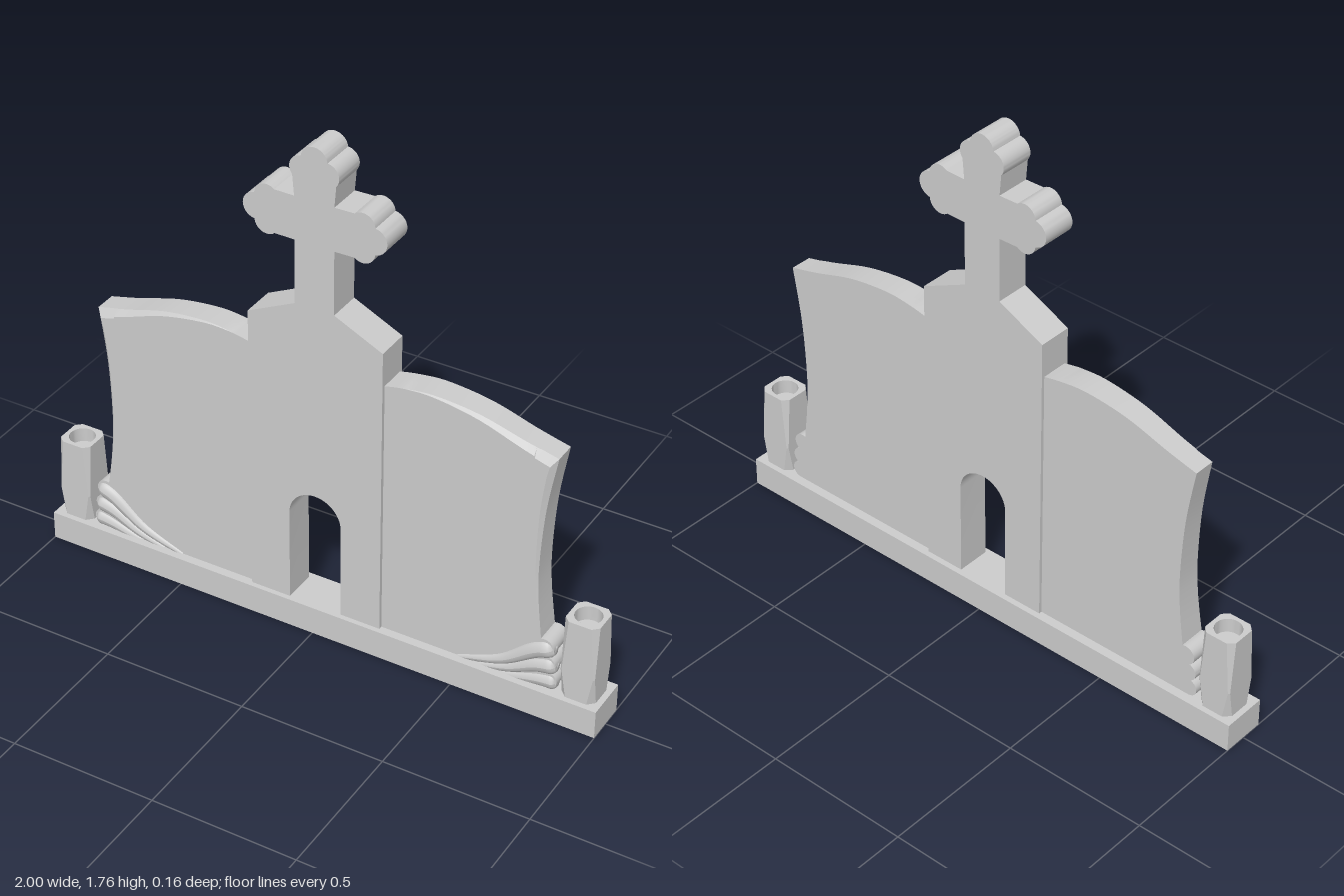
import * as THREE from 'three';
import { toCreasedNormals, mergeVertices } from 'three/addons/utils/BufferGeometryUtils.js';

const material = new THREE.MeshStandardMaterial({ color: 0xcccccc, side: THREE.DoubleSide });
const V2 = (x, y) => new THREE.Vector2(x, y);
const clamp = (v) => THREE.MathUtils.clamp(v, 0, 1);

function part(name, geometry) {
  const mesh = new THREE.Mesh(geometry, material);
  mesh.name = name;
  return mesh;
}

// mirror a geometry in x, keeping its faces outward
function mirrored(geometry) {
  const g = geometry.index ? geometry.toNonIndexed() : geometry.clone();
  g.scale(-1, 1, 1);
  for (const attr of Object.values(g.attributes)) {
    const n = attr.itemSize, a = attr.array;
    for (let i = 0; i < a.length; i += 3 * n)
      for (let k = 0; k < n; k++) [a[i + n + k], a[i + 2 * n + k]] = [a[i + 2 * n + k], a[i + n + k]];
  }
  return g;
}

function arc(points, cx, cy, r, from, to, n = 14) {
  for (let i = 0; i <= n; i++) {
    const a = THREE.MathUtils.degToRad(from + (to - from) * i / n);
    points.push(V2(cx + r * Math.cos(a), cy + r * Math.sin(a)));
  }
}

// three-lobed end of a cross arm, turned about the cross centre
function trefoil(points, turn, half = false) {
  const local = [];
  arc(local, 0.163, -0.042, 0.042, -130, -3.7);
  arc(local, 0.2, 0, 0.045, -84, half ? 0 : 84);
  if (!half) arc(local, 0.163, 0.042, 0.042, 3.7, 130);
  const centre = V2(0, half ? 1.512 : 1.505);
  for (const p of local) points.push(p.rotateAround(V2(0, 0), turn).add(centre));
}

// gate tower and cross as one mirrored outline with an arched doorway
function towerGeometry() {
  const half = [];
  arc(half, 0, 0.432, 0.093, 90, 0);
  half.push(V2(0.093, 0.1), V2(0.235, 0.1), V2(0.235, 1.13), V2(0.068, 1.21), V2(0.068, 1.43));
  trefoil(half, 0);
  half.push(V2(0.068, 1.578));
  trefoil(half, Math.PI / 2, true);
  const other = half.filter((p) => p.x > 1e-6).reverse().map((p) => V2(-p.x, p.y));
  const g = new THREE.ExtrudeGeometry(new THREE.Shape([...half, ...other]), { depth: 0.117, bevelEnabled: false });
  g.translate(0, 0, -0.057);
  return toCreasedNormals(g, 0.5);
}

// curved side panel with a front chamfer that grows toward the top outer corner
function panelGeometry() {
  const outer = new THREE.SplineCurve([V2(0.79, 0.28), V2(0.773, 0.42), V2(0.768, 0.55), V2(0.78, 0.75), V2(0.81, 0.94)]);
  const top = new THREE.SplineCurve([V2(0.81, 0.94), V2(0.7, 0.968), V2(0.55, 1.012), V2(0.4, 1.03), V2(0.3, 1.022), V2(0.23, 1.008)]);
  const pts = [V2(0.23, 0.1)];
  arc(pts, 0.82, 0.13, 0.03, -90, 75, 10);
  arc(pts, 0.812, 0.188, 0.032, -65, 75, 10);
  arc(pts, 0.802, 0.248, 0.034, -60, 105, 10);
  pts.push(...outer.getPoints(20), ...top.getPoints(28).slice(1));
  const front = 0.047, back = -0.046, mid = (front - back) / 2;
  const g = new THREE.ExtrudeGeometry(new THREE.Shape(pts), { depth: front - back, steps: 2, bevelEnabled: false });
  const pos = g.attributes.position;
  for (let i = 0; i < pos.count; i++) {
    const x = pos.getX(i), y = pos.getY(i), z = pos.getZ(i);
    const onTop = y > 0.935, onOuter = x > 0.76 && y > 0.28;
    const wTop = onTop ? clamp((x - 0.3) / 0.51) : 0;
    const wOuter = onOuter ? clamp((y - 0.28) / 0.66) : 0;
    const w = Math.max(wTop, wOuter);
    if (z > mid * 1.5) pos.setXY(i, x - 0.02 * wOuter, y - 0.025 * wTop);
    else if (z > mid * 0.5) pos.setZ(i, front - back - 0.001 - 0.018 * w);
  }
  g.translate(0, 0, back);
  return toCreasedNormals(g, 0.3);
}

// scroll roll: a tube with a rounded outer end, tapering inward
function rollGeometry(path, radius) {
  const curve = new THREE.CatmullRomCurve3(path.map(([x, y, z]) => new THREE.Vector3(x, y, z)));
  const rings = 36, sides = 16;
  const g = new THREE.TubeGeometry(curve, rings, radius, sides);
  const pos = g.attributes.position, p = new THREE.Vector3();
  for (let i = 0; i < pos.count; i++) {
    const t = Math.floor(i / (sides + 1)) / rings;
    const c = curve.getPointAt(t);
    const tip = Math.min(1, t / 0.1);
    const s = Math.sqrt(1 - (1 - tip) ** 2) * (1 - 0.75 * t);
    p.fromBufferAttribute(pos, i).sub(c).multiplyScalar(s).add(c);
    pos.setXYZ(i, p.x, p.y, p.z);
  }
  g.computeVertexNormals();
  return g;
}

// corner-cut square section: half width h, corner cut c
function section(h, c) {
  const k = h - c;
  return [V2(h, -k), V2(h, k), V2(k, h), V2(-k, h), V2(-h, k), V2(-h, -k), V2(-k, -h), V2(k, -h)];
}

// post shaft joining corner-cut sections
function shaftGeometry() {
  const levels = [[0.1, 0.022], [0.2, 0.005], [0.39, 0.02]];
  const verts = [], index = [];
  for (const [y, cut] of levels) for (const p of section(0.058, cut)) verts.push(p.x, y, -p.y);
  for (let l = 0; l < levels.length - 1; l++)
    for (let i = 0; i < 8; i++) {
      const a = l * 8 + i, b = l * 8 + (i + 1) % 8;
      index.push(a, b, b + 8, a, b + 8, a + 8);
    }
  const g = new THREE.BufferGeometry();
  g.setAttribute('position', new THREE.Float32BufferAttribute(verts, 3));
  g.setIndex(index);
  return toCreasedNormals(g, 0.05);
}

function post(name) {
  const group = new THREE.Group();
  group.name = name;
  const rim = new THREE.Shape(section(0.058, 0.02));
  rim.holes.push(new THREE.Path().absarc(0, 0, 0.044, 0, Math.PI * 2, true));
  const rimGeo = new THREE.ShapeGeometry(rim, 24).rotateX(-Math.PI / 2).translate(0, 0.39, 0);
  const well = new THREE.LatheGeometry([V2(0.044, 0.39), V2(0.044, 0.34), V2(0, 0.34)], 32);
  group.add(
    part('postShaft', shaftGeometry()),
    part('postRim', rimGeo),
    part('postSocket', toCreasedNormals(mergeVertices(well), 0.5)),
  );
  return group;
}

export function createModel() {
  const model = new THREE.Group();
  model.name = 'gatewayMonument';

  const base = part('base', new THREE.BoxGeometry(2, 0.1, 0.155));
  base.position.y = 0.05;
  model.add(base, part('towerWithCross', towerGeometry()));

  // side panels, scroll rolls and posts on both sides
  const panel = panelGeometry();
  const rolls = [
    rollGeometry([[0.838, 0.252, 0.026], [0.78, 0.232, 0.03], [0.66, 0.148, 0.036], [0.51, 0.095, 0.042]], 0.038),
    rollGeometry([[0.846, 0.188, 0.026], [0.78, 0.172, 0.03], [0.68, 0.122, 0.036], [0.57, 0.09, 0.042]], 0.036),
    rollGeometry([[0.85, 0.127, 0.026], [0.79, 0.12, 0.03], [0.71, 0.1, 0.036], [0.62, 0.08, 0.042]], 0.034),
  ];
  for (const side of [1, -1]) {
    const label = side > 0 ? 'left' : 'right';
    const place = (g) => (side > 0 ? g : mirrored(g));
    model.add(part(label + 'Panel', place(panel)));
    rolls.forEach((g, i) => model.add(part(label + 'ScrollRoll' + (i + 1), place(g))));
    const p = post(label + 'Post');
    p.position.x = side * 0.922;
    model.add(p);
  }
  return model;
}
